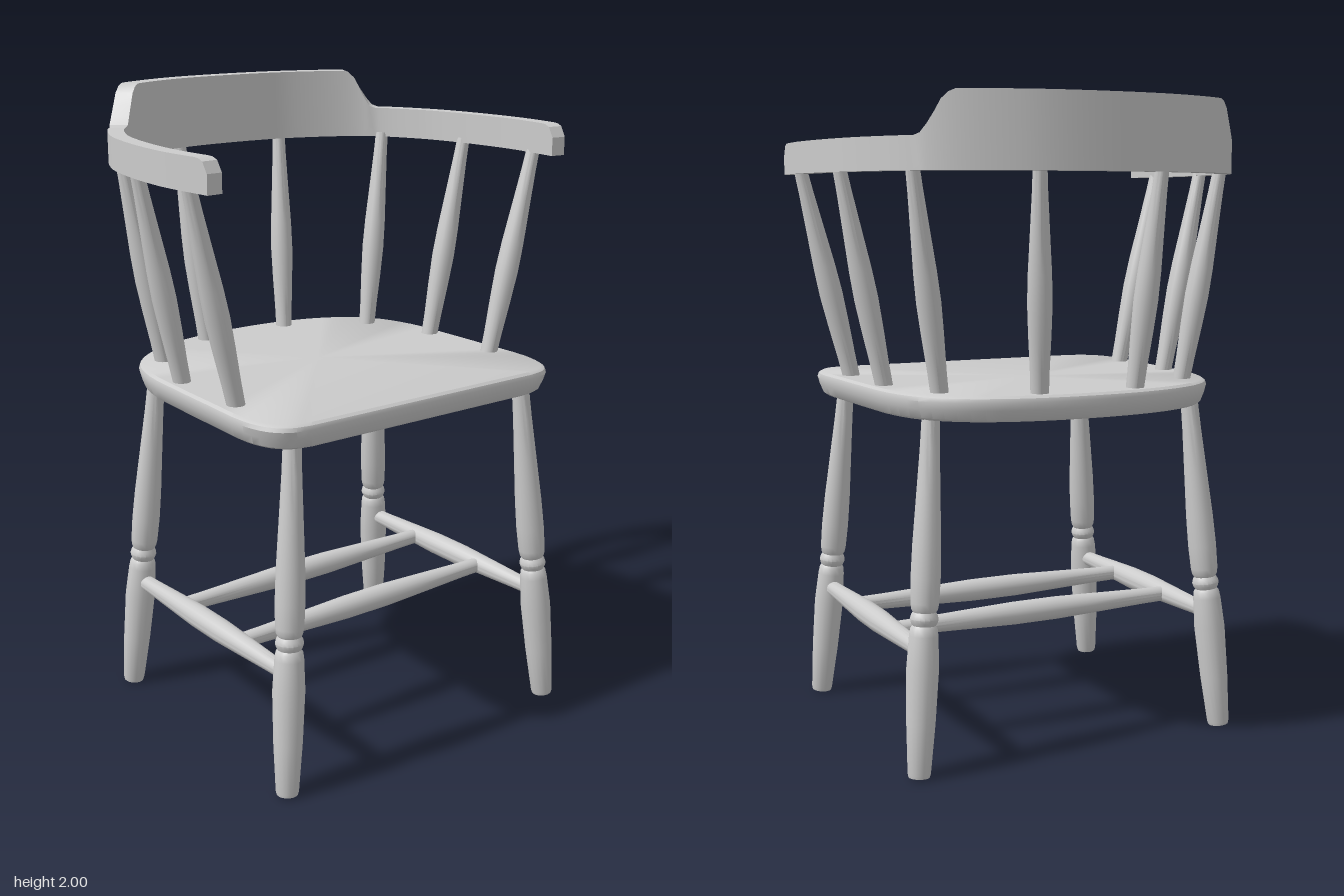
import * as THREE from 'three';
import { toCreasedNormals } from 'three/addons/utils/BufferGeometryUtils.js';

const material = new THREE.MeshStandardMaterial({ color: 0xcccccc });
const V = (x, y, z) => new THREE.Vector3(x, y, z);

function part(name, geometry, crease = 0.6) {
  const mesh = new THREE.Mesh(toCreasedNormals(geometry, crease), material);
  mesh.name = name;
  return mesh;
}

// Skin over a row of equal-sized rings, closed with a fan at each end
function loft(rings) {
  const n = rings[0].length, pos = [], idx = [];
  rings.flat().forEach(p => pos.push(p.x, p.y, p.z));
  for (let r = 0; r < rings.length - 1; r++) {
    for (let i = 0; i < n; i++) {
      const a = r * n + i, b = r * n + (i + 1) % n;
      idx.push(a, b, b + n, a, b + n, a + n);
    }
  }
  [0, rings.length - 1].forEach((r, end) => {
    const c = rings[r].reduce((s, p) => s.add(p), V(0, 0, 0)).divideScalar(n);
    const ci = pos.length / 3;
    pos.push(c.x, c.y, c.z);
    for (let i = 0; i < n; i++) {
      const a = r * n + i, b = r * n + (i + 1) % n;
      idx.push(ci, end ? a : b, end ? b : a);
    }
  });
  const g = new THREE.BufferGeometry();
  g.setAttribute('position', new THREE.Float32BufferAttribute(pos, 3));
  g.setIndex(idx);
  return g;
}

// Turned piece between two points; profile rows are [fraction of length, radius]
function turned(name, profile, from, to) {
  const axis = to.clone().sub(from), length = axis.length();
  const pts = [[0, 0], ...profile, [1, 0]].map(([t, r]) => new THREE.Vector2(r, t * length));
  const mesh = part(name, new THREE.LatheGeometry(pts, 18));
  mesh.position.copy(from);
  mesh.quaternion.setFromUnitVectors(V(0, 1, 0), axis.normalize());
  return mesh;
}

const LEG = [[0, 0.032], [0.01, 0.035], [0.15, 0.044], [0.3, 0.049], [0.39, 0.044], [0.41, 0.041],
  [0.418, 0.035], [0.426, 0.04], [0.436, 0.043], [0.447, 0.04], [0.455, 0.035], [0.463, 0.04],
  [0.48, 0.043], [0.55, 0.045], [0.64, 0.043], [0.78, 0.036], [0.9, 0.03], [1, 0.027]];
const SPINDLE = [[0, 0.027], [0.12, 0.029], [0.28, 0.034], [0.42, 0.037], [0.55, 0.035],
  [0.75, 0.028], [0.9, 0.023], [1, 0.021]];
const STRETCHER = [[0, 0.024], [0.1, 0.026], [0.3, 0.033], [0.42, 0.037], [0.58, 0.037],
  [0.7, 0.033], [0.9, 0.026], [1, 0.024]];

function seat() {
  const half = [[0.43, 0.527], [0.495, 0.512], [0.54, 0.465], [0.563, 0.38], [0.56, 0.2], [0.553, 0],
    [0.54, -0.18], [0.495, -0.315], [0.415, -0.405], [0.3, -0.465], [0.16, -0.498]];
  const outline = [...half, [0, -0.508], ...half.slice().reverse().map(([x, z]) => [-x, z])];
  const curve = new THREE.CatmullRomCurve3(outline.map(([x, z]) => V(x, 0, z)));
  const pts = curve.getPoints(66);
  // Edge rounds over at the top and tapers in below
  const layers = [[1.06, 0.955], [1.067, 0.972], [1.095, 0.99], [1.118, 1], [1.13, 0.993], [1.137, 0.975]];
  return part('seat', loft(layers.map(([y, s]) => pts.map(p => V(p.x * s, y, 0.01 + (p.z - 0.01) * s)))));
}

// Linear lookup in rows of [key, value] with rising keys
function lookup(rows, k) {
  if (k <= rows[0][0]) return rows[0][1];
  for (let i = 1; i < rows.length; i++) {
    const [k0, v0] = rows[i - 1], [k1, v1] = rows[i];
    if (k <= k1) return v0 + (v1 - v0) * (k - k0) / (k1 - k0);
  }
  return rows[rows.length - 1][1];
}

// Bent arm rail that rises into the back crest
function rail() {
  const half = [[0.641, 0.383], [0.657, 0.17], [0.632, -0.07], [0.59, -0.22], [0.485, -0.392], [0.25, -0.508]];
  const path = [...half, [0, -0.536], ...half.slice().reverse().map(([x, z]) => [-x, z])];
  const curve = new THREE.CatmullRomCurve3(path.map(([x, z]) => V(x, 0, z)));
  const crest = [[0.42, 2], [0.44, 1.99], [0.455, 1.97], [0.475, 1.92], [0.5, 1.875]];
  const tip = [[0.34, 1.875], [0.36, 1.87], [0.375, 1.857], [0.383, 1.835]];
  const rings = [];
  const N = 140;
  for (let i = 0; i <= N; i++) {
    const p = curve.getPointAt(i / N), t = curve.getTangentAt(i / N);
    const out = t.cross(V(0, 1, 0)).normalize();
    const x = Math.abs(p.x);
    const top = p.z > 0 ? lookup(tip, p.z) : lookup(crest, x);
    const w = x < 0.5 ? 0.029 : 0.025;
    const corner = (side, y) => V(p.x + out.x * side * w, y, p.z + out.z * side * w);
    rings.push([corner(-1, 1.778), corner(-1, top), corner(1, top), corner(1, 1.778)]);
  }
  return part('armAndBackRail', loft(rings), 0.5);
}

export function createModel() {
  const chair = new THREE.Group();
  chair.name = 'chair';
  chair.add(seat(), rail());

  // Spindles: bottom x, z then top x, z
  const spindles = [[0.495, 0.25, 0.65, 0.265], [0.495, -0.047, 0.63, -0.047],
    [0.415, -0.29, 0.515, -0.34], [0.16, -0.435, 0.2, -0.515]];

  for (const s of [1, -1]) {
    const side = s > 0 ? 'left' : 'right';
    spindles.forEach(([bx, bz, tx, tz], i) =>
      chair.add(turned(`${side}Spindle${i + 1}`, SPINDLE, V(s * bx, 1.12, bz), V(s * tx, 1.79, tz))));
    chair.add(
      turned(`${side}FrontLeg`, LEG, V(s * 0.527, 0.003, 0.533), V(s * 0.445, 1.08, 0.455)),
      turned(`${side}BackLeg`, LEG, V(s * 0.527, 0.003, -0.373), V(s * 0.445, 1.08, -0.292)),
      turned(`${side}Stretcher`, STRETCHER, V(s * 0.499, 0.375, 0.505), V(s * 0.499, 0.375, -0.345)));
  }

  // Cross stretchers between the two side stretchers
  for (const [name, z] of [['frontCrossStretcher', 0.24], ['backCrossStretcher', -0.085]]) {
    chair.add(turned(name, STRETCHER, V(-0.5, 0.375, z), V(0.5, 0.375, z)));
  }
  return chair;
}
